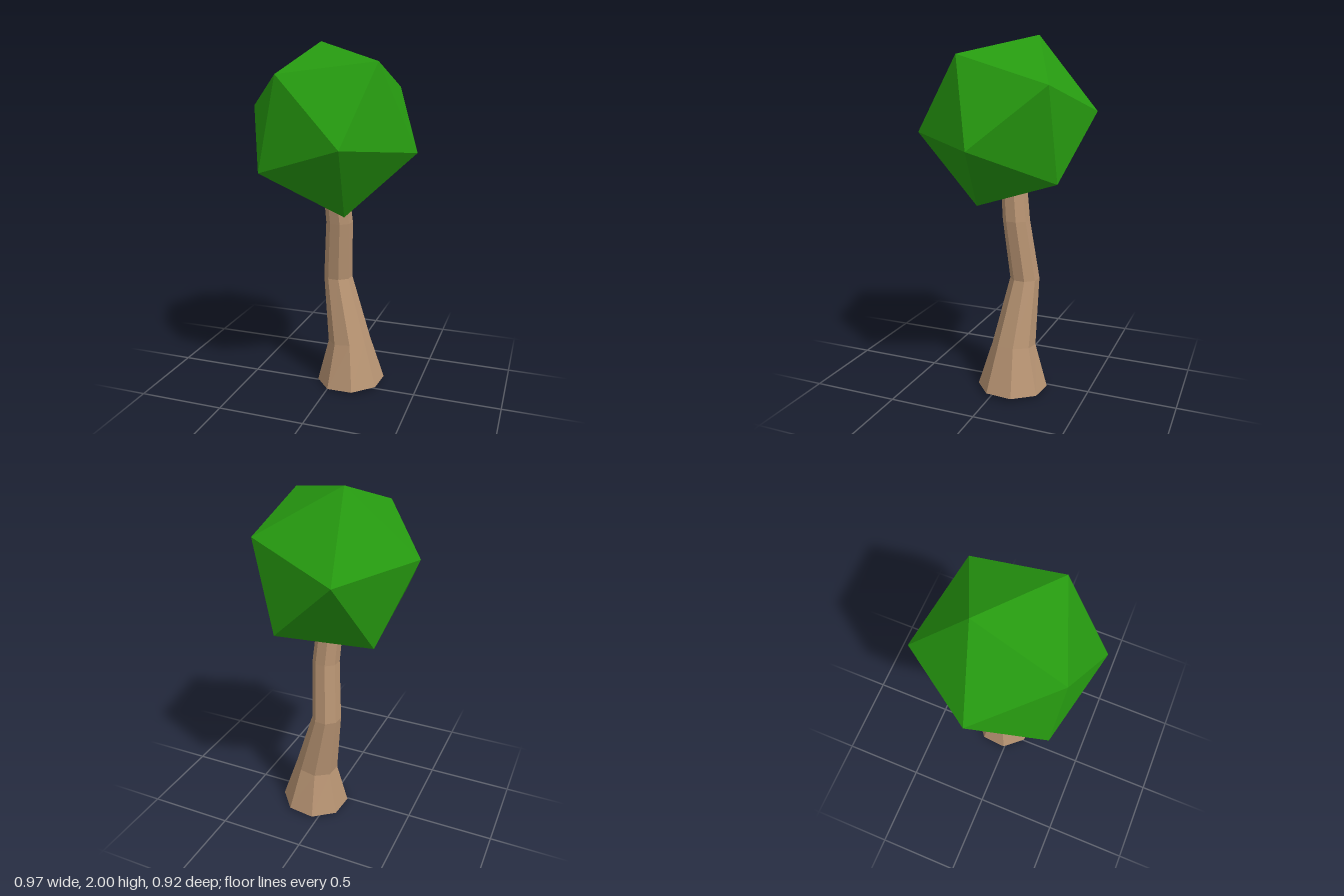
import * as THREE from 'three';
import { ConvexGeometry } from 'three/addons/geometries/ConvexGeometry.js';

export function createModel() {
  const tree = new THREE.Group();
  tree.name = 'tree';

  const bark = new THREE.MeshStandardMaterial({ color: 0xb89473 });
  bark.name = 'bark';
  const leaf = new THREE.MeshStandardMaterial({ color: 0x269a10 });
  leaf.name = 'leaf green';

  // Crooked trunk: an eight-sided cylinder whose rings follow a bent path.
  // Rings from top to base: centre x, y, z, radius, rise per unit of x
  const rings = [
    [0.0, 1.3, -0.03, 0.072, 0],
    [0.022, 0.99, -0.062, 0.077, 0],
    [0.0, 0.645, -0.107, 0.084, 0],
    [0.082, 0.268, -0.073, 0.124, 0.12],
    [0.095, 0.011, -0.07, 0.2, 0.055],
  ];
  const steps = rings.length - 1;
  const bent = new THREE.CylinderGeometry(1, 1, 1, 8, steps);
  bent.rotateY(THREE.MathUtils.degToRad(18));
  const pos = bent.attributes.position;
  for (let i = 0; i < pos.count; i++) {
    const [cx, cy, cz, r, tilt] = rings[Math.round((0.5 - pos.getY(i)) * steps)];
    const dx = pos.getX(i) * r;
    const dz = pos.getZ(i) * r;
    pos.setXYZ(i, cx + dx, cy + dx * tilt, cz + dz);
  }
  const trunkGeometry = bent.toNonIndexed(); // separate faces for flat shading
  trunkGeometry.computeVertexNormals();
  const trunk = new THREE.Mesh(trunkGeometry, [bark, leaf, leaf]); // sides, top cap, base cap
  trunk.name = 'trunk';
  tree.add(trunk);

  // Crown: a tilted icosahedron, given by its six axes and their opposites
  const axes = [
    [-0.115, 0.465, -0.14],
    [0.301, 0.362, 0.165],
    [0.301, 0.214, -0.338],
    [0.485, -0.11, 0.032],
    [-0.187, 0.299, 0.353],
    [-0.187, 0.057, -0.46],
  ];
  const corners = axes.flatMap((a) => {
    const v = new THREE.Vector3(...a).setLength(0.499);
    return [v, v.clone().negate()];
  });
  const crown = new THREE.Mesh(new ConvexGeometry(corners), leaf);
  crown.name = 'crown';
  crown.position.y = 1.535;
  tree.add(crown);

  return tree;
}
